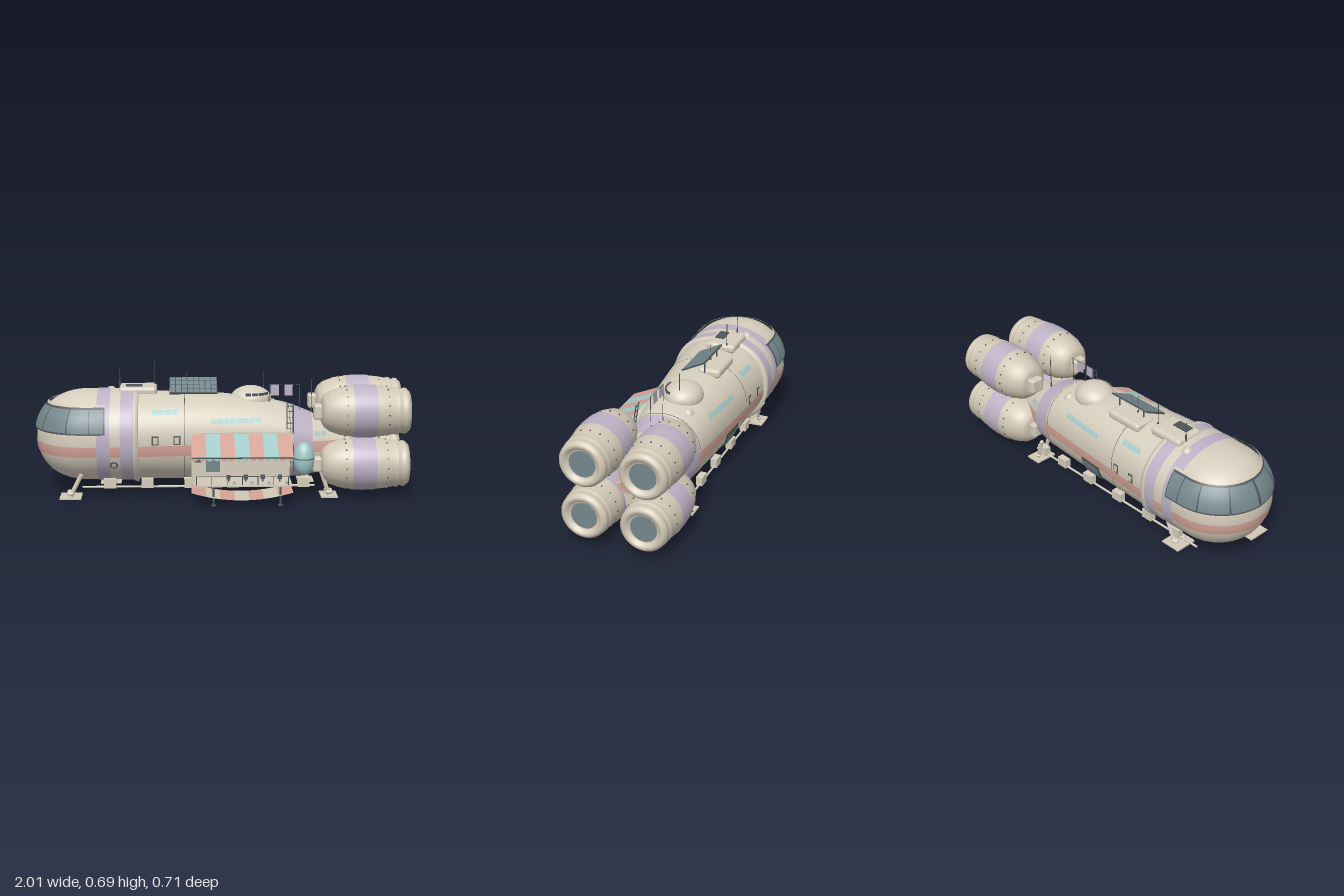
import * as THREE from 'three';
import { RoundedBoxGeometry } from 'three/addons/geometries/RoundedBoxGeometry.js';

const mat = (name, color, side = THREE.FrontSide) => {
  const m = new THREE.MeshStandardMaterial({ color, side });
  m.name = name;
  return m;
};
const D = THREE.DoubleSide;
const cream = mat('cream', 0xd6cebd), lavender = mat('lavender', 0xbdb2c6, D), pink = mat('pink', 0xd5a497, D),
  teal = mat('teal', 0xa3cbca, D), slate = mat('slate', 0x74878c, D), dark = mat('charcoal', 0x4f5658, D),
  canvas = mat('canvas', 0xd2c8b6, D);

// Hull cross-sections: x, centre y, half height, centre z, half width
const stations = [
  [-0.725, 0.31, 0.245, -0.06, 0.275], [-0.455, 0.31, 0.245, -0.06, 0.275],
  [-0.454, 0.305, 0.236, -0.06, 0.262], [-0.2, 0.3, 0.236, -0.062, 0.245], [0, 0.295, 0.232, -0.065, 0.228],
  [0.2, 0.285, 0.22, -0.066, 0.212], [0.35, 0.272, 0.203, -0.066, 0.198], [0.5, 0.25, 0.165, -0.064, 0.17],
  [0.6, 0.238, 0.135, -0.06, 0.142], [0.7, 0.232, 0.103, -0.057, 0.115], [0.8, 0.23, 0.07, -0.055, 0.09],
  [0.803, 0.23, 0.0005, -0.055, 0.0005]];
const NOSE = -0.725, POW = 2.2;
const spow = (v, p) => Math.sign(v) * Math.pow(Math.abs(v), p);

function section(u) {
  const x = Math.max(u, NOSE);
  let i = 0;
  while (i < stations.length - 2 && x > stations[i + 1][0]) i++;
  const a = stations[i], b = stations[i + 1], t = (x - a[0]) / (b[0] - a[0]);
  return a.map((v, k) => v + (b[k] - v) * t);
}
// Point on the hull at length u and angle a; the nose is turned about a vertical axis
function hullPoint(u, a, off) {
  const [x, cy, ry, cz, rz] = section(u);
  const r = (rz + off) * spow(Math.cos(a), 2 / POW), y = cy + (ry + off) * spow(Math.sin(a), 2 / POW);
  if (u >= NOSE) return [x, y, cz + r];
  const phi = ((u - NOSE) / 0.275) * Math.PI / 2;
  return [NOSE + Math.abs(r) * Math.sin(phi), y, cz + r * Math.cos(phi)];
}
function angleAt(u, y, side) {
  const [, cy, ry] = section(u);
  const s = THREE.MathUtils.clamp((y - cy) / ry, -1, 1);
  const a = Math.asin(spow(s, POW / 2));
  return side > 0 ? a : Math.PI - a;
}
function loft(us, rows, pointAt) {
  const pos = [], idx = [], w = rows + 1;
  us.forEach((u, i) => { for (let j = 0; j <= rows; j++) pos.push(...pointAt(u, j / rows, i)); });
  for (let i = 0; i < us.length - 1; i++) for (let j = 0; j < rows; j++) {
    const p = i * w + j;
    idx.push(p, p + w, p + w + 1, p, p + w + 1, p + 1);
  }
  const g = new THREE.BufferGeometry();
  g.setAttribute('position', new THREE.Float32BufferAttribute(pos, 3));
  g.setIndex(idx);
  g.computeVertexNormals();
  return g;
}
const range = (a, b, n) => Array.from({ length: n + 1 }, (_, i) => a + (b - a) * i / n);
// Full hoop around the hull
const hoop = (us, offs = us.map(() => 0)) =>
  loft(us, 72, (u, t, i) => hullPoint(u, -Math.PI / 2 + t * Math.PI * 2, offs[i]));
// Thin patch on one side of the hull between two heights
function patch(u0, u1, y0, y1, side, off) {
  const [lo, hi] = side > 0 ? [y0, y1] : [y1, y0];
  const n = Math.max(2, Math.ceil((u1 - u0) / 0.025));
  return loft(range(u0, u1, n), 6, (u, t) => hullPoint(u, angleAt(u, lo + (hi - lo) * t, side), off));
}
function add(parent, name, geo, material, p = [0, 0, 0], r = [0, 0, 0]) {
  const m = new THREE.Mesh(geo, material);
  m.name = name;
  m.position.set(...p);
  m.rotation.set(...r);
  parent.add(m);
  return m;
}
const box = (x, y, z) => new THREE.BoxGeometry(x, y, z);
function rod(parent, name, a, b, radius, material) {
  const p = new THREE.Vector3(...a), q = new THREE.Vector3(...b);
  const m = add(parent, name, new THREE.CylinderGeometry(radius, radius, p.distanceTo(q), 8), material);
  m.position.copy(p).add(q).multiplyScalar(0.5);
  m.quaternion.setFromUnitVectors(new THREE.Vector3(0, 1, 0), q.sub(p).normalize());
}
function group(parent, name) {
  const g = new THREE.Group();
  g.name = name;
  parent.add(g);
  return g;
}

function buildHull(root) {
  const g = group(root, 'hull');
  add(g, 'noseHull', hoop([...range(-1, NOSE, 20), ...range(-0.7, -0.455, 5)]), cream);
  add(g, 'rearHull', hoop([...range(-0.454, 0.8, 40)]), cream);
  add(g, 'tailCap', hoop([0.8, 0.803]), cream);
  add(g, 'collar', hoop([-0.472, -0.47, -0.447, -0.445], [0, 0.008, 0.02, 0]), cream);
  for (const [a, b] of [[-0.665, -0.595], [-0.54, -0.472], [0.38, 0.49]])
    add(g, 'hullBand', hoop(range(a, b, 5), Array(6).fill(0.003)), lavender);
  for (const x of [-0.2, 0.365]) add(g, 'seam', hoop([x, x + 0.003], [0.002, 0.002]), dark);
  add(g, 'tailStripe', new THREE.CircleGeometry(1, 32, 0, Math.PI).scale(0.085, 0.06, 1), pink,
    [0.806, 0.235, -0.055], [0, Math.PI / 2, 0]);
  for (const s of [1, -1]) {
    for (const [a, b] of [[-1, -0.665], [-0.595, -0.54], [-0.445, 0.38], [0.49, 0.8]])
      add(g, 'stripe', patch(a, b, 0.235, 0.292, s, 0.003), pink);
    // Wraparound cockpit glazing
    add(g, 'cockpitFrame', patch(-1, -0.62, 0.355, 0.487, s, 0.008), dark);
    for (const [a, b] of [[-0.995, -0.895], [-0.89, -0.79], [-0.785, -0.705], [-0.7, -0.628]])
      add(g, 'cockpitPane', patch(a, b, 0.364, 0.476, s, 0.012), slate);
    add(g, 'cockpitBrow', patch(-1, -0.615, 0.484, 0.494, s, 0.014), canvas);
    // Small cabin windows
    for (const x of [-0.355, -0.24]) {
      add(g, 'windowFrame', patch(x - 0.018, x + 0.018, 0.297, 0.345, s, 0.006), dark);
      add(g, 'windowPane', patch(x - 0.012, x + 0.012, 0.304, 0.338, s, 0.009), canvas);
    }
    // Rows of teal dashes
    for (const [a, y, n] of [[-0.37, 0.46, 4], [-0.06, 0.412, 8], [0.5, 0.33, 2]])
      for (let i = 0; i < n; i++)
        add(g, 'dash', patch(a + i * 0.034, a + i * 0.034 + 0.03, y - 0.012, y + 0.012, s, 0.004), teal);
  }
  add(g, 'portholeRim', new THREE.TorusGeometry(0.018, 0.005, 8, 20), dark, [-0.575, 0.19, 0.185], [0.5, 0, 0]);
  add(g, 'largeWindowFrame', patch(-0.095, 0.055, 0.14, 0.245, -1, 0.006), dark);
  add(g, 'largeWindowPane', patch(-0.082, 0.042, 0.15, 0.235, -1, 0.01), slate);
}

function buildEngines(root) {
  const profile = [[0, 0.53], [0.06, 0.532], [0.085, 0.545], [0.108, 0.575], [0.128, 0.63], [0.138, 0.695],
    [0.141, 0.755], [0.139, 0.82], [0.132, 0.88], [0.124, 0.925], [0.128, 0.928], [0.128, 0.942], [0.12, 0.945],
    [0.12, 0.968], [0.124, 0.97], [0.122, 0.985], [0.112, 0.99], [0.108, 1], [0.088, 1], [0.084, 0.98], [0.07, 0.978]];
  const turn = pts => new THREE.LatheGeometry(pts.map(p => new THREE.Vector2(...p)), 48).rotateZ(-Math.PI / 2);
  for (const y of [0.458, 0.17]) for (const z of [0.105, -0.212]) {
    const g = group(root, 'engine');
    g.position.set(0, y, z);
    add(g, 'engineShell', turn(profile), canvas);
    add(g, 'engineBand', turn(profile.slice(5, 8).map(([r, x]) => [r + 0.002, x])), lavender);
    add(g, 'exhaust', new THREE.CircleGeometry(0.071, 40), slate, [0.981, 0, 0], [0, Math.PI / 2, 0]);
    add(g, 'engineMount', new RoundedBoxGeometry(0.05, 0.08, 0.08, 2, 0.012), cream, [0.515, 0, 0]);
    for (const [r, x] of [[0.135, 0.66], [0.133, 0.88]])
      for (let i = 0; i < 16; i++) {
        const a = i * Math.PI / 8;
        add(g, 'rivet', box(0.006, 0.006, 0.006), dark, [x, r * Math.cos(a), r * Math.sin(a)], [a, 0, 0]);
      }
  }
}

function buildRoof(root) {
  const g = group(root, 'roofEquipment');
  add(g, 'roofHatch', new RoundedBoxGeometry(0.205, 0.05, 0.17, 4, 0.02), cream, [-0.45, 0.547, -0.09]);
  add(g, 'hatchVent', box(0.09, 0.008, 0.05), dark, [-0.47, 0.574, -0.06]);
  add(g, 'roofPod', new RoundedBoxGeometry(0.225, 0.05, 0.13, 4, 0.02), cream, [-0.17, 0.525, -0.135]);
  add(g, 'dome', new THREE.SphereGeometry(1, 40, 20).scale(0.113, 0.075, 0.105), cream, [0.165, 0.492, -0.085]);
  for (let i = 0; i < 4; i++) {
    const a = -0.2 + i * 0.38;
    add(g, 'domeWindow', box(0.03, 0.014, 0.006), dark,
      [0.165 + 0.098 * Math.sin(a), 0.53, -0.085 + 0.092 * Math.cos(a)], [0, a, 0]);
  }
  for (const [x, y, z] of [[-0.6, 0.525, -0.16], [0.285, 0.45, -0.16]])
    add(g, 'blister', new THREE.SphereGeometry(0.03, 20, 12), cream, [x, y, z]);
  // Tilted solar panel with cell lines
  const panel = group(g, 'solarPanel');
  panel.position.set(-0.15, 0.571, -0.065);
  panel.rotation.x = 0.464;
  add(panel, 'panelPlate', box(0.26, 0.008, 0.146), dark);
  for (let i = 0; i < 8; i++) for (let j = 0; j < 4; j++)
    add(panel, 'solarCell', box(0.028, 0.003, 0.031), slate, [-0.112 + i * 0.032, 0.005, -0.0525 + j * 0.035]);
  for (const x of [-0.24, -0.06]) rod(g, 'panelLeg', [x, 0.5, -0.115], [x, 0.59, -0.115], 0.004, dark);
  for (const [x, z, y, base] of [[-0.55, -0.12, 0.66, 0.53], [-0.36, -0.128, 0.695, 0.52], [-0.185, -0.1, 0.645, 0.5],
    [0.235, -0.09, 0.645, 0.47], [0.5, -0.11, 0.6, 0.38]]) {
    rod(g, 'antenna', [x, base, z], [x, y, z], 0.002, dark);
    rod(g, 'antennaBase', [x, base, z], [x, base + 0.06, z], 0.005, dark);
  }
  // Washing line
  for (const x of [0.26, 0.425]) rod(g, 'linePole', [x, 0.4, -0.01], [x, 0.585, -0.01], 0.002, dark);
  rod(g, 'washingLine', [0.26, 0.583, -0.01], [0.425, 0.583, -0.01], 0.0015, dark);
  add(g, 'cloth', box(0.045, 0.06, 0.003), lavender, [0.29, 0.553, -0.01]);
  add(g, 'cloth', box(0.045, 0.06, 0.003), lavender, [0.365, 0.553, -0.01]);
}

function buildPorch(root) {
  const g = group(root, 'porch');
  add(g, 'porchWall', box(0.525, 0.255, 0.06), cream, [0.098, 0.23, 0.14]);
  add(g, 'door', box(0.075, 0.12, 0.006), slate, [-0.05, 0.205, 0.172]);
  add(g, 'porchWindow', box(0.035, 0.045, 0.006), dark, [-0.13, 0.22, 0.172]);
  // Striped awning with scalloped edge
  const slope = Math.atan2(0.085, 0.185), w = 0.53 / 7;
  for (let i = 0; i < 7; i++) {
    const m = i % 2 ? teal : pink, x = -0.165 + (i + 0.5) * w;
    add(g, 'awningStripe', box(w, 0.005, 0.204), m, [x, 0.307, 0.26], [slope, 0, 0]);
    for (const s of [-1, 1])
      add(g, 'scallop', new THREE.CircleGeometry(w / 4, 10, Math.PI, Math.PI), m, [x + s * w / 4, 0.264, 0.353]);
  }
  for (const x of [-0.16, 0.36]) rod(g, 'awningArm', [x, 0.23, 0.17], [x, 0.262, 0.35], 0.004, cream);
  rod(g, 'awningBar', [-0.165, 0.262, 0.352], [0.365, 0.262, 0.352], 0.004, dark);
  // Deck, legs, railing and furniture
  add(g, 'deck', box(0.51, 0.007, 0.185), canvas, [0.105, 0.111, 0.262]);
  for (const x of [-0.05, 0.3]) {
    rod(g, 'deckLeg', [x, 0, 0.328], [x, 0.11, 0.328], 0.005, dark);
    add(g, 'deckFoot', new THREE.CylinderGeometry(0.014, 0.014, 0.006, 12), dark, [x, 0.003, 0.328]);
  }
  for (let i = 0; i < 7; i++) rod(g, 'railPost', [-0.14 + i * 0.08, 0.114, 0.342], [-0.14 + i * 0.08, 0.163, 0.342], 0.002, dark);
  rod(g, 'rail', [-0.14, 0.161, 0.342], [0.34, 0.161, 0.342], 0.002, dark);
  for (const x of [0.03, 0.12, 0.21, 0.3]) {
    add(g, 'chairSeat', box(0.022, 0.005, 0.022), dark, [x, 0.131, 0.263]);
    add(g, 'chairBack', box(0.022, 0.024, 0.003), dark, [x, 0.141, 0.273]);
    rod(g, 'chairLeg', [x, 0.114, 0.263], [x, 0.13, 0.263], 0.004, dark);
    add(g, 'stool', new THREE.CylinderGeometry(0.008, 0.008, 0.016, 12), teal, [x + 0.03, 0.122, 0.323]);
  }
  // Sagging striped sheet below the deck
  for (let i = 0; i < 7; i++)
    add(g, 'sheetStripe', loft(range(i / 7, (i + 1) / 7, 4), 1, (t, s) =>
      [-0.165 + t * 0.53, 0.036 + 0.04 * (2 * t - 1) ** 2, 0.355 - s * 0.2]), i % 2 ? canvas : pink);
  // Storage tank and ladder
  add(g, 'tank', new THREE.SphereGeometry(1, 32, 20).scale(0.055, 0.09, 0.055), teal, [0.435, 0.215, 0.18]);
  add(g, 'tankRing', new THREE.TorusGeometry(0.054, 0.003, 8, 32), dark, [0.435, 0.22, 0.18], [Math.PI / 2, 0, 0]);
  for (const x of [0.348, 0.382]) rod(g, 'ladderRail', [x, 0.14, 0.15], [x, 0.5, 0.09], 0.003, dark);
  for (let i = 0; i < 12; i++) {
    const y = 0.155 + i * 0.03, z = 0.15 - (y - 0.14) / 6;
    rod(g, 'ladderRung', [0.348, y, z], [0.382, y, z], 0.002, dark);
  }
}

function buildUndercarriage(root) {
  const g = group(root, 'undercarriage');
  for (const [x, z, w] of [[-0.81, 0.122, 0.115], [-0.61, -0.22, 0.115], [0.575, 0.122, 0.09], [0.48, -0.22, 0.09]]) {
    add(g, 'footPad', box(w, 0.008, 0.125), canvas, [x, 0.004, z]);
    const lean = x < 0 ? 0.06 : -0.04;
    for (const dz of [-0.025, 0.025]) {
      rod(g, 'footStrut', [x, 0.01, z + dz], [x + lean, 0.13, z + dz], 0.011, cream);
      add(g, 'footJoint', new THREE.SphereGeometry(0.02, 16, 8).scale(1.2, 0.5, 1), cream, [x, 0.025, z + dz]);
    }
  }
  for (const z of [-0.23, 0.11]) {
    rod(g, 'underRail', [-0.75, 0.052, z], [0.5, 0.052, z], 0.006, cream);
    for (const x of [-0.6, -0.4, -0.17, 0.06, 0.27, 0.44])
      add(g, 'railBracket', box(0.065, 0.05, 0.035), cream, [x, 0.072, z]);
  }
}

export function createModel() {
  const root = new THREE.Group();
  root.name = 'touringSpaceship';
  [buildHull, buildEngines, buildRoof, buildPorch, buildUndercarriage].forEach(build => build(root));
  return root;
}
